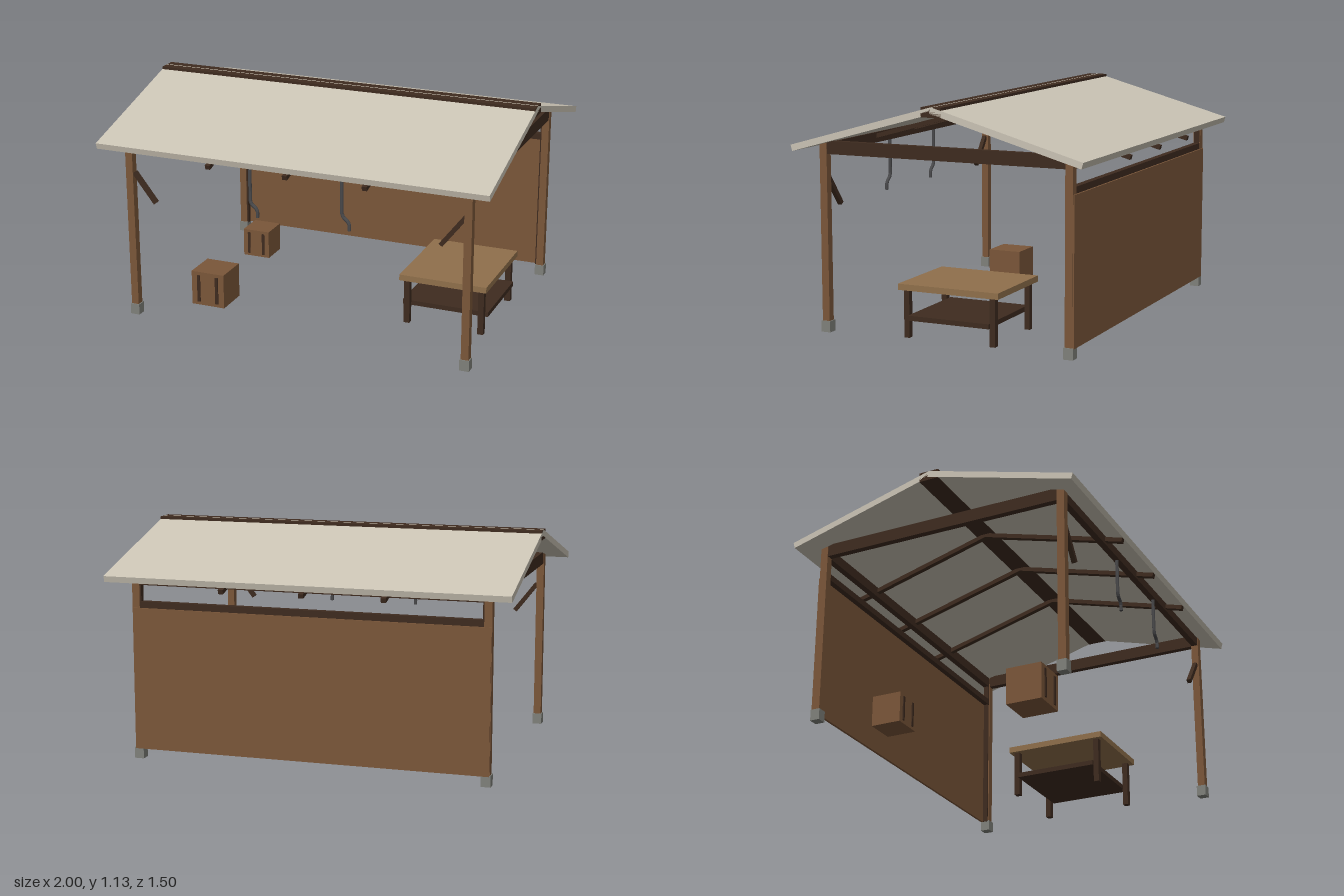
import * as THREE from 'three';

const mat = (color) => new THREE.MeshStandardMaterial({ color, flatShading: true });

export function createModel() {
  const model = new THREE.Group();
  const wood = mat(0x7a5639), dark = mat(0x3e2b1f), plank = mat(0x8f6f4b);
  const roofing = mat(0xcac3b4), stone = mat(0x7f807a), metal = mat(0x48484a);

  const add = (name, geometry, material, x = 0, y = 0, z = 0, parent = model) => {
    const mesh = new THREE.Mesh(geometry, material);
    mesh.name = name;
    mesh.position.set(x, y, z);
    parent.add(mesh);
    return mesh;
  };
  // Box given by its size, its bottom height and its centre in plan
  const box = (name, material, w, h, d, x, bottom, z, parent) =>
    add(name, new THREE.BoxGeometry(w, h, d), material, x, bottom + h / 2, z, parent);

  const sides = [-1, 1];
  const postX = 0.874, postZ = 0.636, postW = 0.038;

  // Corner posts on stone footings
  for (const sx of sides) for (const sz of sides) {
    box('footing', stone, 0.048, 0.055, 0.048, sx * postX, 0, sz * postZ);
    box('post', wood, postW, 0.87, postW, sx * postX, 0.05, sz * postZ);
  }

  // Beams joining the post tops
  for (const s of sides) {
    box('tieBeam', dark, 0.032, 0.063, 2 * postZ - postW, s * postX, 0.868, 0);
    box('eaveBeam', dark, 2 * postX - postW, 0.052, 0.032, 0, 0.868, s * postZ);
  }

  // Sloping boards, measured from the ridge down to the eave
  const pitch = Math.atan(0.28);
  const slope = (name, material, x, apex, width, thickness, reach) => {
    const length = reach / Math.cos(pitch);
    for (const s of sides) {
      const g = new THREE.BoxGeometry(width, thickness, length);
      g.translate(0, -thickness / 2, length / 2);
      g.rotateX(pitch);
      if (s < 0) g.rotateY(Math.PI);
      add(name, g, material, x, apex, 0);
    }
  };
  slope('roofPanel', roofing, 0, 1.128, 2, 0.031, 0.748);
  for (const x of [-0.4, 0, 0.4]) slope('rafter', dark, x, 1.087, 0.025, 0.022, 0.743);
  box('ridgeCap', dark, 2, 0.047, 0.1, 0, 1.08, 0);

  // Back wall with its top rail and side studs
  box('backWall', wood, 1.78, 0.705, 0.012, 0, 0.05, -0.655);
  box('wallRail', dark, 2 * postX - postW, 0.032, 0.032, 0, 0.755, -postZ);
  for (const s of sides) box('wallStud', dark, 0.016, 0.82, 0.028, s * 0.856, 0.05, -postZ);

  // Diagonal braces and hanging hooks at the front
  for (const s of sides) {
    const brace = add('brace', new THREE.BoxGeometry(0.022, 0.185, 0.022), dark, s * 0.797, 0.682, postZ);
    brace.rotation.z = -s * 0.66;
  }
  const hookPath = new THREE.CurvePath();
  const bends = [[0, 0.88], [0, 0.69], [0.008, 0.672], [0.03, 0.655], [0.037, 0.64], [0.037, 0.612]]
    .map(([x, y]) => new THREE.Vector3(x, y, 0));
  for (let i = 1; i < bends.length; i++) hookPath.add(new THREE.LineCurve3(bends[i - 1], bends[i]));
  for (const x of [-0.228, 0.247]) {
    const hook = new THREE.Group();
    hook.name = 'hook';
    add('hookRod', new THREE.TubeGeometry(hookPath, 30, 0.009, 8), metal, 0, 0, 0, hook);
    add('hookTip', new THREE.CylinderGeometry(0.009, 0.009, 0.004, 8), metal, 0.037, 0.612, 0, hook);
    hook.position.set(x, 0, postZ);
    model.add(hook);
  }

  // Workbench
  const bench = new THREE.Group();
  bench.name = 'workbench';
  box('benchTop', plank, 0.45, 0.03, 0.526, 0, 0.233, 0, bench);
  box('benchShelf', dark, 0.445, 0.024, 0.426, 0, 0.088, 0, bench);
  for (const sx of sides) for (const sz of sides)
    box('benchLeg', dark, 0.03, 0.235, 0.028, sx * 0.193, 0, sz * 0.226, bench);
  bench.position.x = 0.625;
  model.add(bench);

  // Crates with two slats on the front
  const crate = (size, x, z) => {
    const g = new THREE.Group();
    g.name = 'crate';
    box('crateBody', wood, size, size, size, 0, 0, 0, g);
    for (const s of sides)
      box('crateSlat', dark, size * 0.09, size * 0.8, 0.01, s * size * 0.28, size * 0.1, size / 2, g);
    g.position.set(x, 0, z);
    model.add(g);
  };
  crate(0.18, -0.578, 0.339);
  crate(0.15, -0.64, -0.359);

  return model;
}
